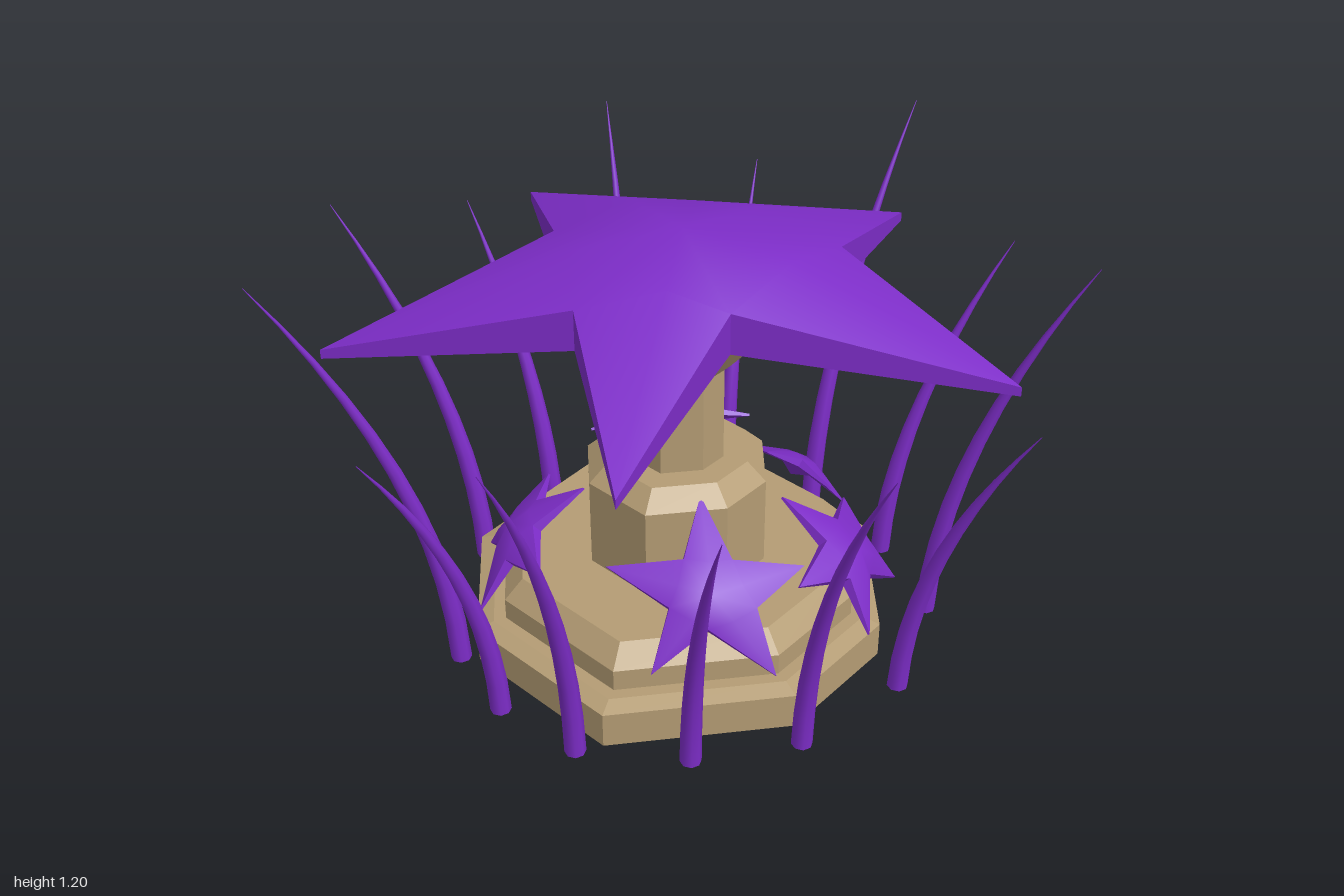
import * as THREE from 'three';
import { mergeGeometries } from 'three/addons/utils/BufferGeometryUtils.js';
import { ConvexGeometry } from 'three/addons/geometries/ConvexGeometry.js';

const stone = new THREE.MeshStandardMaterial({ color: 0xb49c74, flatShading: true });
stone.name = 'sandstone';
const purple = new THREE.MeshStandardMaterial({ color: 0x7d2dc8 });
purple.name = 'purple';

// Slightly irregular octagon (x, z), shared by every tier of the pedestal
const CENTER = [-0.015, -0.025];
const OCTAGON = [[-0.235, -0.57], [0.14, -0.585], [0.545, -0.255], [0.51, 0.23],
  [0.17, 0.525], [-0.2, 0.525], [-0.57, 0.2], [-0.535, -0.28]];
const ring = (s, y) => OCTAGON.map(([x, z]) => new THREE.Vector3(
  CENTER[0] + (x - CENTER[0]) * s, y, CENTER[1] + (z - CENTER[1]) * s));

// Star outline (x, z): tip, notch, tip, notch ...
const STAR = [[0.865, 0.06], [0.32, 0.235], [0.26, 0.81], [-0.13, 0.24], [-0.7, 0.385],
  [-0.355, -0.055], [-0.69, -0.595], [-0.08, -0.38], [0.29, -0.835], [0.295, -0.215]];

function trianglesGeometry(tris) {
  const g = new THREE.BufferGeometry().setFromPoints(tris.flat());
  g.computeVertexNormals();
  return g;
}

// Faceted solid through a stack of rings, with both ends closed
function loft(rings) {
  const tris = [], n = rings[0].length, top = rings[rings.length - 1];
  for (let k = 0; k < rings.length - 1; k++) {
    for (let i = 0; i < n; i++) {
      const j = (i + 1) % n, a = rings[k], b = rings[k + 1];
      tris.push([a[j], a[i], b[i]], [a[j], b[i], b[j]]);
    }
  }
  for (let i = 1; i < n - 1; i++) {
    tris.push([rings[0][0], rings[0][i], rings[0][i + 1]], [top[0], top[i + 1], top[i]]);
  }
  return trianglesGeometry(tris);
}

// Drooping star: smooth ridged top, thin walls and a hollow underside
function starGeometry() {
  const outline = (tipY, notchY) => STAR.map(([x, z], i) => new THREE.Vector3(x, i % 2 ? notchY : tipY, z));
  const upper = outline(-0.07, 0.09), lower = outline(-0.095, -0.02);
  const knees = STAR.filter((_, i) => i % 2 === 0)
    .map(([x, z]) => new THREE.Vector3(x * 0.32, 0.15, z * 0.32));
  const top = new THREE.BufferGeometry().setFromPoints(
    [...upper, ...knees, new THREE.Vector3(-0.01, 0.19, -0.01)]);
  const index = [], A = 15;
  for (let t = 0; t < 10; t += 2) {
    const p = (t + 9) % 10, n = t + 1, k = 10 + t / 2;
    index.push(A, k, p, A, n, k, k, t, p, k, n, t);
  }
  top.setIndex(index);
  top.computeVertexNormals();

  const tris = [], hub = new THREE.Vector3(0, 0.02, 0);
  for (let i = 0; i < 10; i++) {
    const j = (i + 1) % 10;
    tris.push([lower[j], lower[i], upper[i]], [lower[j], upper[i], upper[j]], [hub, lower[i], lower[j]]);
  }
  return mergeGeometries([top.toNonIndexed(), trianglesGeometry(tris)]);
}

// Tapered horn curving outward from base to tip
function hornGeometry(bx, bz, tx, tz, h) {
  const base = new THREE.Vector3(bx, 0.01, bz), tip = new THREE.Vector3(tx, h, tz);
  const mid = new THREE.Vector3(bx + (tx - bx) * 0.04, h * 0.5, bz + (tz - bz) * 0.04);
  const curve = new THREE.QuadraticBezierCurve3(base, mid, tip);
  const rows = 10, sides = 8;
  const g = new THREE.TubeGeometry(curve, rows, 0.028, sides, false);
  const pos = g.attributes.position, v = new THREE.Vector3();
  for (let r = 0; r <= rows; r++) {
    const c = curve.getPointAt(r / rows), s = Math.max(0.03, 1 - Math.pow(r / rows, 1.6));
    for (let i = 0; i <= sides; i++) {
      const id = r * (sides + 1) + i;
      v.fromBufferAttribute(pos, id).sub(c).multiplyScalar(s).add(c);
      pos.setXYZ(id, v.x, v.y, v.z);
    }
  }
  const cap = new THREE.CircleGeometry(0.028, sides).rotateX(Math.PI / 2).translate(bx, 0.01, bz);
  return mergeGeometries([g, cap]);
}

export function createModel() {
  const model = new THREE.Group();
  const add = (name, geometry, material) => {
    const mesh = new THREE.Mesh(geometry, material);
    mesh.name = name;
    model.add(mesh);
    return mesh;
  };

  // Stepped pedestal
  add('base', loft([ring(1, 0.02), ring(1, 0.12), ring(0.92, 0.135)]), stone);
  add('step', loft([ring(0.86, 0.12), ring(0.86, 0.195), ring(0.77, 0.25)]), stone);
  add('drum', loft([ring(0.43, 0.24), ring(0.43, 0.5), ring(0.34, 0.55)]), stone);
  add('column', loft([ring(0.225, 0.54), ring(0.225, 0.83)]), stone);

  // Capital: octagonal foot flaring into a five-cornered head
  const head = STAR.filter((_, i) => i % 2).flatMap(([x, z]) => [
    new THREE.Vector3(x * 0.92, 0.97, z * 0.92), new THREE.Vector3(x * 0.8, 1.05, z * 0.8)]);
  add('capital', new ConvexGeometry([...ring(0.24, 0.82), ...head]), stone);

  // Star roof
  const star = starGeometry();
  add('starRoof', star, purple).position.y = 1;

  // Small stars leaning on the step: x, y, z, size, facing (degrees)
  [[-0.26, 0.35, 0.29, 0.3, -43], [0.18, 0.28, 0.4, 0.27, 24], [0.45, 0.27, 0.04, 0.2, 85],
    [0.3, 0.35, -0.33, 0.27, 138], [-0.31, 0.28, -0.33, 0.26, -137]].forEach(([x, y, z, s, deg]) => {
    const mesh = add('smallStar', star, purple);
    mesh.position.set(x, y, z);
    mesh.scale.setScalar(s);
    mesh.rotation.order = 'YXZ';
    mesh.rotateY(THREE.MathUtils.degToRad(deg)).rotateX(0.8).rotateY(0.33);
  });

  // Ring of horns: base x, base z, tip x, tip z, height
  [[-0.18, -0.615, -0.34, -0.945, 1.085], [0.1, -0.61, 0.12, -0.92, 0.94],
    [0.37, -0.52, 0.595, -0.81, 1.12], [0.55, -0.31, 0.83, -0.43, 0.965],
    [0.59, -0.015, 0.995, 0, 1.21], [0.58, 0.25, 0.845, 0.435, 0.97],
    [0.43, 0.505, 0.575, 0.82, 1.12], [0.11, 0.63, 0.145, 0.935, 0.9],
    [-0.23, 0.57, -0.39, 0.89, 1.035], [-0.46, 0.395, -0.665, 0.65, 0.92],
    [-0.62, 0.15, -0.995, 0.28, 1.1], [-0.63, -0.105, -0.965, -0.145, 0.925],
    [-0.55, -0.335, -0.905, -0.56, 1.2]].forEach((h) => add('horn', hornGeometry(...h), purple));

  return model;
}
